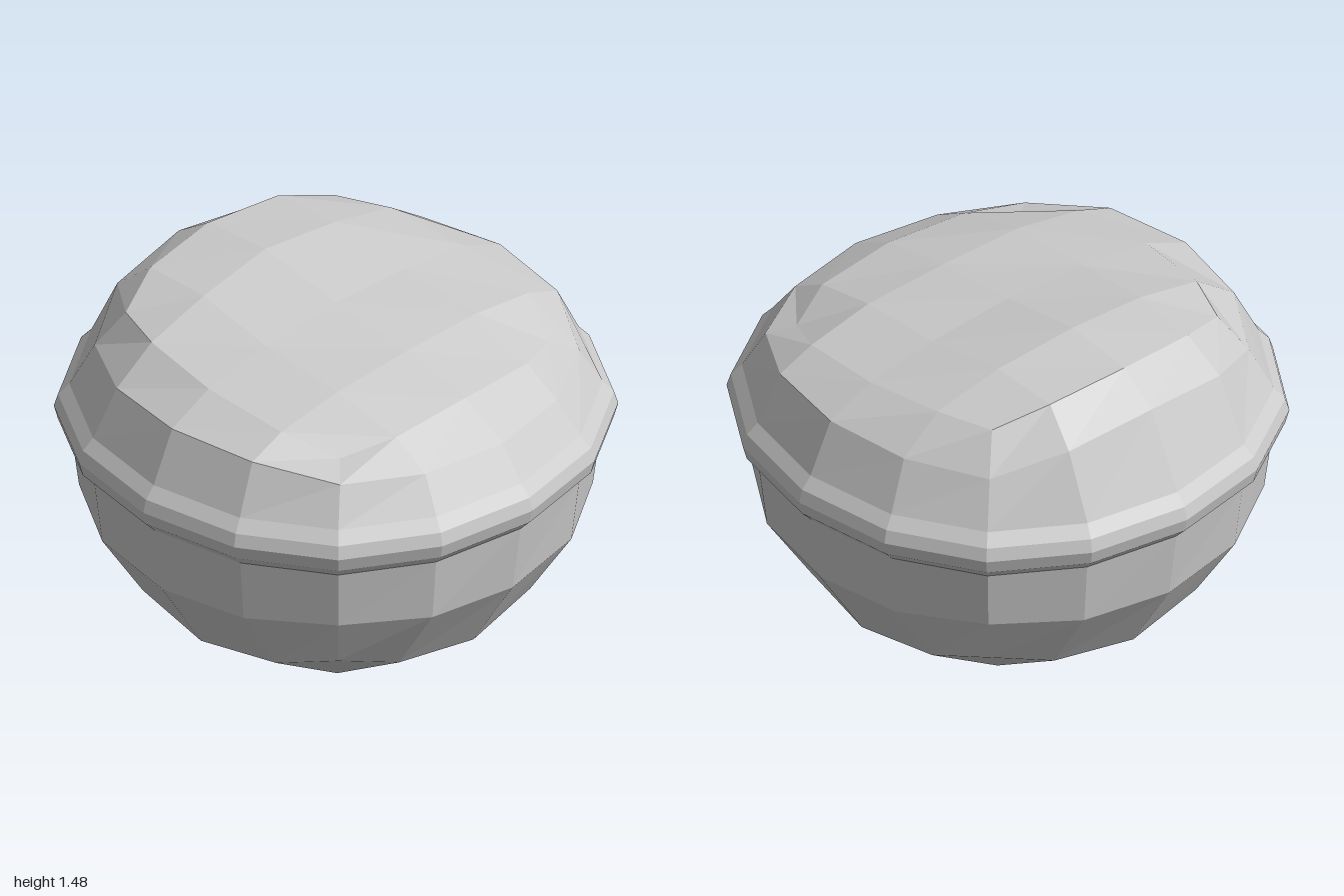
import * as THREE from 'three';

const material = new THREE.MeshStandardMaterial({ color: 0xcccccc, flatShading: true });

const mirrorZ = ([x, y, z]) => [x, y, -z];

// Full 16-point loop from the nine points of its +z half (running -x, +z, +x)
const closeLoop = (half) => [...half, ...half.slice(1, 8).reverse().map(mirrorZ)];

// Four-fold symmetric half loop from its axis, middle and corner points
function symmetricHalf(axis, mid, corner) {
  const [r, y0] = axis, [a, y1, b] = mid, [c, y2] = corner;
  const quarter = [[-r, y0, 0], [-a, y1, b], [-c, y2, c], [-b, y1, a]];
  return [...quarter, [0, y0, r], ...quarter.slice().reverse().map(([x, y, z]) => [-x, y, z])];
}

// Level sixteen-sided loop
const levelHalf = (r, y) => symmetricHalf([r, y], [0.93 * r, y, 0.395 * r], [0.725 * r, y]);

function addQuad(out, a, b, c, d) {
  out.push(...a, ...b, ...c, ...a, ...c, ...d);
}

// Bands between successive loops, listed from low to high
function addBands(out, halves) {
  const loops = halves.map(closeLoop);
  for (let r = 0; r < loops.length - 1; r++) {
    for (let k = 0; k < 16; k++) {
      const n = (k + 1) % 16;
      addQuad(out, loops[r][k], loops[r][n], loops[r + 1][n], loops[r + 1][k]);
    }
  }
}

// 4 x 4 quad patch bordered by a loop; inner holds its two inner rows (z = 0, then +z)
function addCap(out, h, inner, facesUp) {
  const rows = [[h[0], ...inner[0], h[8]], [h[1], ...inner[1], h[7]], h.slice(2, 7)];
  const grid = [rows[2].map(mirrorZ), rows[1].map(mirrorZ), ...rows];
  for (let j = 0; j < 4; j++) {
    for (let i = 0; i < 4; i++) {
      const q = [grid[j + 1][i], grid[j + 1][i + 1], grid[j][i + 1], grid[j][i]];
      if (!facesUp) q.reverse();
      addQuad(out, ...q);
    }
  }
}

function makeMesh(name, positions) {
  const geometry = new THREE.BufferGeometry();
  geometry.setAttribute('position', new THREE.Float32BufferAttribute(positions, 3));
  geometry.computeVertexNormals();
  const mesh = new THREE.Mesh(geometry, material);
  mesh.name = name;
  return mesh;
}

export function createModel() {
  const group = new THREE.Group();
  group.name = 'liddedBowl';

  // Rounded bowl
  const bowl = [];
  const base = symmetricHalf([0.7, 0.265], [0.655, 0.305, 0.34], [0.58, 0.39]);
  const belly = symmetricHalf([0.9, 0.585], [0.845, 0.6, 0.36], [0.66, 0.62]);
  addBands(bowl, [base, belly, levelHalf(0.94, 0.86)]);
  addCap(bowl, base, [
    [[-0.38, 0.07, 0], [0, 0, 0], [0.38, 0.07, 0]],
    [[-0.36, 0.13, 0.36], [0, 0.07, 0.38], [0.36, 0.13, 0.36]],
  ], false);
  group.add(makeMesh('bowl', bowl));

  // Bulging rim
  const rim = [];
  const rimProfile = [[0.94, 0.86], [0.985, 0.908], [1, 0.965], [0.985, 1.015], [0.945, 1.06]];
  addBands(rim, rimProfile.map(([r, y]) => levelHalf(r, y)));
  group.add(makeMesh('rim', rim));

  // Lopsided lid, higher towards -x
  const lid = [];
  const shoulder = [
    [-0.8, 1.35, 0], [-0.76, 1.31, 0.36], [-0.62, 1.23, 0.62], [-0.34, 1.25, 0.79], [0, 1.26, 0.85],
    [0.35, 1.25, 0.79], [0.63, 1.2, 0.62], [0.79, 1.19, 0.34], [0.85, 1.19, 0],
  ];
  const crown = [
    [-0.65, 1.455, 0], [-0.62, 1.43, 0.33], [-0.54, 1.37, 0.54], [-0.33, 1.375, 0.62], [0, 1.345, 0.66],
    [0.35, 1.31, 0.64], [0.55, 1.24, 0.54], [0.64, 1.28, 0.34], [0.66, 1.3, 0],
  ];
  addBands(lid, [levelHalf(0.945, 1.06), shoulder, crown]);
  addCap(lid, crown, [
    [[-0.36, 1.475, 0], [0, 1.41, 0], [0.36, 1.365, 0]],
    [[-0.34, 1.44, 0.34], [0, 1.387, 0.36], [0.36, 1.357, 0.36]],
  ], true);
  group.add(makeMesh('lid', lid));

  return group;
}
